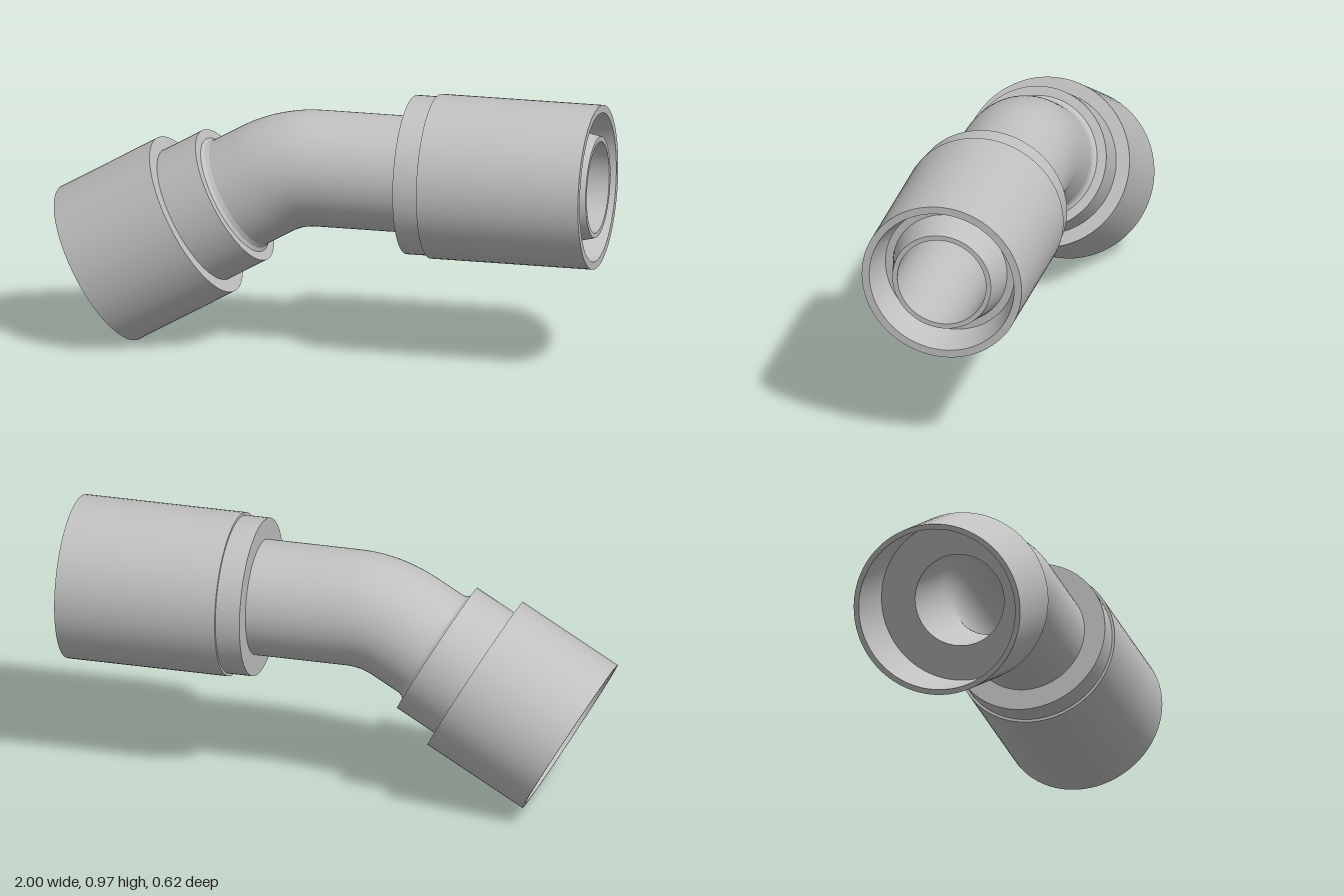
import * as THREE from 'three';
import { mergeGeometries } from 'three/addons/utils/BufferGeometryUtils.js';

const SIDES = 72;
const ANGLE = Math.PI / 6;      // bend of the elbow
const PIPE = 0.21, BORE = 0.165; // pipe outer and inner radius
const AXIS_Y = 0.677;           // height of the straight end
const MOUTH = new THREE.Vector2(-0.845, 0.268); // centre of the socket mouth
const BEND_R = 0.39;

const steel = new THREE.MeshStandardMaterial({ color: 0xc0c0c0, side: THREE.DoubleSide });
steel.name = 'steel grey';

// Turned part from [radius, axial] pairs; every profile corner stays sharp
function turned(name, profile) {
  const bands = [];
  for (let i = 0; i < profile.length - 1; i++) {
    const pts = [profile[i], profile[i + 1]].map(([r, s]) => new THREE.Vector2(r, s));
    bands.push(new THREE.LatheGeometry(pts, SIDES));
  }
  const mesh = new THREE.Mesh(mergeGeometries(bands), steel);
  mesh.name = name;
  return mesh;
}

export function createModel() {
  const group = new THREE.Group();
  group.name = 'pipeElbow';

  // Where the two axes cross, and the distance from there to the bend's ends
  const reach = (AXIS_Y - MOUTH.y) / Math.sin(ANGLE);
  const crossX = MOUTH.x + reach * Math.cos(ANGLE);
  const tangent = BEND_R * Math.tan(ANGLE / 2);
  const bendX = crossX + tangent;
  const bendS = reach - tangent;

  // Straight end: pipe, collar, sleeve and tapered seal groove round the nozzle
  const sleeve = turned('sleeveEnd', [
    [PIPE, bendX], [PIPE, 0.31], [0.287, 0.31], [0.287, 0.40], [0.297, 0.40],
    [0.297, 1], [0.269, 1], [0.24, 0.88], [0.212, 0.88], [0.183, 1],
    [BORE, 1], [BORE, bendX],
  ]);
  sleeve.rotation.z = -Math.PI / 2;
  sleeve.position.set(0, AXIS_Y, 0);
  group.add(sleeve);

  // Angled end: open socket, stepped collar and small flare onto the pipe
  const socket = turned('socketEnd', [
    [BORE, bendS], [BORE, 0.33], [0.29, 0.33], [0.29, 0], [0.309, 0],
    [0.309, 0.41], [0.26, 0.41], [0.26, 0.575], [0.226, 0.575],
    [0.215, 0.585], [PIPE, 0.60], [PIPE, bendS],
  ]);
  socket.rotation.z = ANGLE - Math.PI / 2;
  socket.position.set(MOUTH.x, MOUTH.y, 0);
  group.add(socket);

  // Bend: outer wall and bore
  for (const [name, radius] of [['bendOuter', PIPE], ['bendBore', BORE]]) {
    const bend = new THREE.Mesh(new THREE.TorusGeometry(BEND_R, radius, SIDES, 20, ANGLE), steel);
    bend.name = name;
    bend.rotation.z = Math.PI / 2;
    bend.position.set(bendX, AXIS_Y - BEND_R, 0);
    group.add(bend);
  }
  return group;
}
